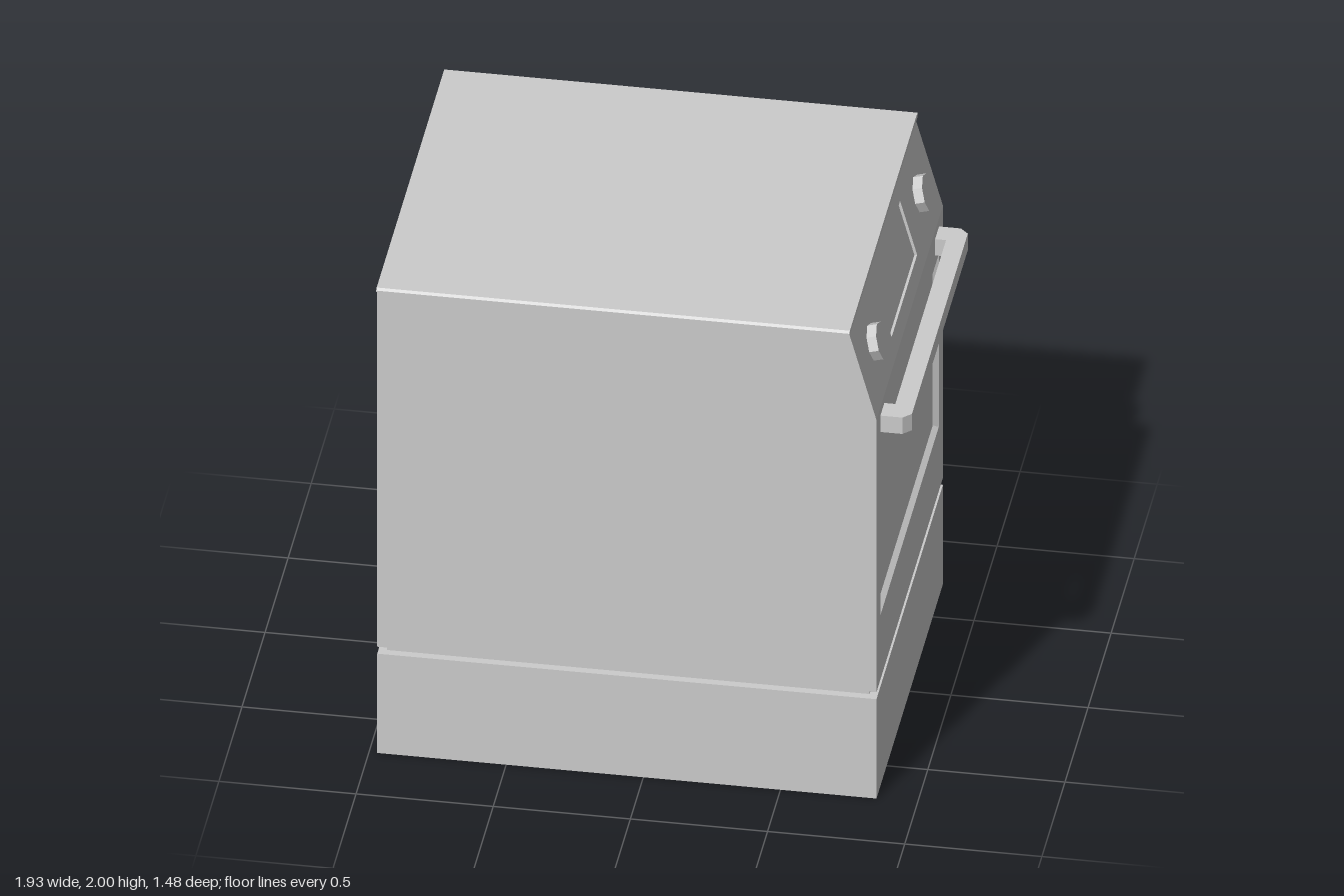
import * as THREE from 'three';

const material = new THREE.MeshStandardMaterial({ color: 0xcccccc, flatShading: true });
const sheet = new THREE.MeshStandardMaterial({ color: 0xcccccc, flatShading: true, side: THREE.DoubleSide });

const BACK = -0.97, FRONT = 0.85, HALF = 0.72;
const BASE = 0.455, BEND = 1.62, TOP = 1.98, TOP_FRONT = 0.75;

// Rectangular face with a sunken rectangle; local z points outwards
function recessedFace(w, h, x0, x1, y0, y1, inset, depth) {
  const rect = (a, b, c, d, z) => [[a, c, z], [b, c, z], [b, d, z], [a, d, z]];
  const loops = [
    rect(-w / 2, w / 2, -h / 2, h / 2, 0),
    rect(x0, x1, y0, y1, 0),
    rect(x0 + inset, x1 - inset, y0 + inset, y1 - inset, -depth),
  ];
  const pos = [];
  const quad = (a, b, c, d) => pos.push(...a, ...b, ...c, ...a, ...c, ...d);
  for (let l = 0; l < 2; l++) {
    for (let i = 0; i < 4; i++) {
      const j = (i + 1) % 4;
      quad(loops[l][i], loops[l][j], loops[l + 1][j], loops[l + 1][i]);
    }
  }
  quad(...loops[2]);
  const geo = new THREE.BufferGeometry();
  geo.setAttribute('position', new THREE.Float32BufferAttribute(pos, 3));
  geo.computeVertexNormals();
  return geo;
}

const shapeOf = (pts) => new THREE.Shape(pts.map(([x, y]) => new THREE.Vector2(x, y)));

export function createModel() {
  const model = new THREE.Group();
  const add = (name, geo, x = 0, y = 0, z = 0, mat = material) => {
    const mesh = new THREE.Mesh(geo, mat);
    mesh.name = name;
    mesh.position.set(x, y, z);
    model.add(mesh);
    return mesh;
  };
  const box = (name, x0, x1, y0, y1, half) =>
    add(name, new THREE.BoxGeometry(x1 - x0, y1 - y0, half * 2), (x0 + x1) / 2, (y0 + y1) / 2);

  // Bottom drawer and the recessed gap above it
  box('drawer', BACK, FRONT, 0, 0.425, HALF);
  box('drawerGap', BACK + 0.03, FRONT - 0.03, 0.42, 0.46, HALF - 0.03);

  // Oven body: side walls, back, underside and top
  const side = shapeOf([[BACK, BASE], [FRONT, BASE], [FRONT, BEND], [TOP_FRONT, TOP], [BACK, TOP]]);
  for (const s of [1, -1]) add('sideWall', new THREE.ShapeGeometry(side), 0, 0, s * HALF, sheet);
  add('backWall', new THREE.PlaneGeometry(HALF * 2, TOP - BASE).rotateY(-Math.PI / 2),
    BACK, (BASE + TOP) / 2, 0, sheet);
  add('underside', new THREE.PlaneGeometry(FRONT - BACK, HALF * 2).rotateX(Math.PI / 2),
    (FRONT + BACK) / 2, BASE, 0, sheet);

  // Door with sunken window
  add('door', recessedFace(HALF * 2, BEND - BASE, -0.63, 0.63,
    0.73 - (BASE + BEND) / 2, 1.47 - (BASE + BEND) / 2, 0.013, 0.02),
  FRONT, (BASE + BEND) / 2).rotation.y = Math.PI / 2;

  // Sloped control panel with display
  const tilt = Math.atan2(FRONT - TOP_FRONT, TOP - BEND);
  const panel = add('controlPanel', recessedFace(HALF * 2, Math.hypot(FRONT - TOP_FRONT, TOP - BEND),
    -0.277, 0.277, -0.114, 0.119, 0.001, 0.01), (FRONT + TOP_FRONT) / 2, (BEND + TOP) / 2);
  panel.rotation.set(-tilt, Math.PI / 2, 0, 'YXZ');

  // Eight-sided knobs standing square to the panel
  for (const s of [1, -1]) {
    const knob = new THREE.CylinderGeometry(0.07, 0.07, 0.04, 8).rotateX(Math.PI / 2).translate(0, 0, 0.016);
    add('knob', knob, 0.798, 1.808, s * 0.498).rotation.set(-tilt, Math.PI / 2, 0, 'YXZ');
  }

  // Door handle: bar with chamfered corners and two standoffs
  const handle = shapeOf([
    [FRONT, -0.635], [0.93, -0.635], [0.96, -0.605], [0.96, 0.605], [0.93, 0.635], [FRONT, 0.635],
    [FRONT, 0.55], [0.89, 0.55], [0.89, -0.55], [FRONT, -0.55],
  ]);
  add('handle', new THREE.ExtrudeGeometry(handle, { depth: 0.07, bevelEnabled: false })
    .rotateX(-Math.PI / 2), 0, 1.515, 0);

  // Cooktop slab with bevelled long edges
  const slab = shapeOf([
    [-0.73, TOP], [0.73, TOP], [0.742, 1.987], [0.742, 1.993], [0.732, 2], [-0.732, 2],
    [-0.742, 1.993], [-0.742, 1.987],
  ]);
  add('cooktop', new THREE.ExtrudeGeometry(slab, { depth: 0.755 - BACK, bevelEnabled: false })
    .rotateY(Math.PI / 2), BACK, 0, 0);

  return model;
}
